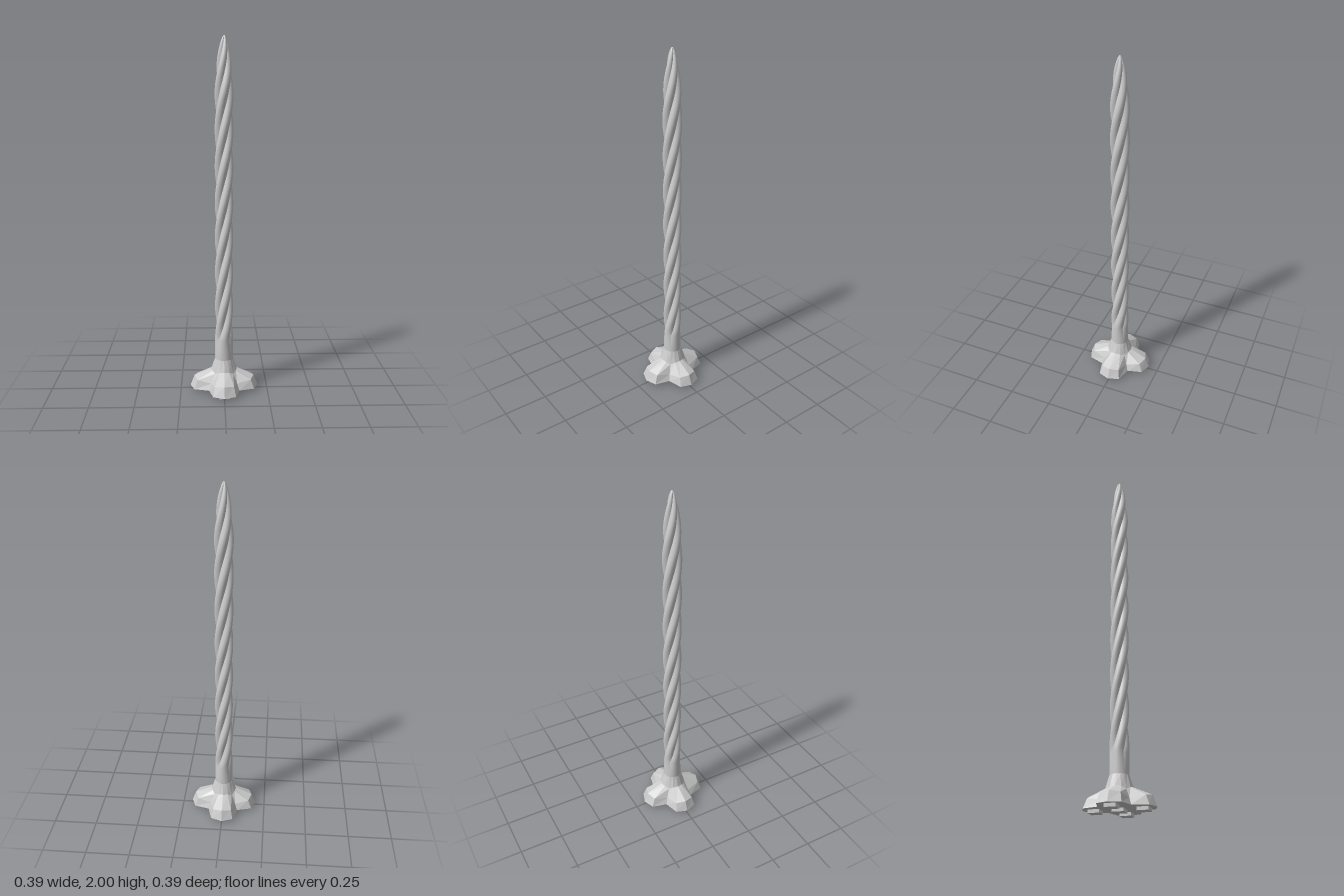
import * as THREE from 'three';
import { ParametricGeometry } from 'three/addons/geometries/ParametricGeometry.js';

const smooth = (a, b, t) => THREE.MathUtils.smoothstep(t, a, b);

// Overall radius of the shaft: even along its length, rounded to a point at the top
function shaftRadius(y) {
  const t = Math.max(0, (y - 1.66) / 0.34);
  return 0.051 * Math.pow(Math.max(0, 1 - t * t), 0.6) + 0.0005;
}

// One of four twisted strands; its two edges meet the neighbours in sharp grooves
function strandGeometry(index) {
  const point = (u, v, target) => {
    const y = 0.17 + 1.83 * Math.sin(v * Math.PI / 2) ** 0.9;
    const depth = 0.32 * smooth(0.18, 0.42, y);
    const local = (u - 0.5) * Math.PI / 2;
    const r = shaftRadius(y) * (1 - depth * (1 - Math.cos(2 * local)));
    const twist = (Math.max(y, 0.3) - 1.7) / 0.8 * Math.PI * 2;
    const a = local + index * Math.PI / 2 + twist;
    target.set(r * Math.cos(a), y, -r * Math.sin(a));
  };
  return new ParametricGeometry(point, 10, 120);
}

// Faceted four-petal base from stacked rings of 16 points.
// Each ring lists one quarter as [x, z, y]: petal tip, corner, valley, corner.
function baseGeometry() {
  const rings = [
    [[0.195, 0, 0.018], [0.172, 0.064, 0.018], [0.087, 0.087, 0.018], [0.064, 0.172, 0.018]],
    [[0.172, 0, 0.078], [0.153, 0.054, 0.07], [0.074, 0.074, 0.055], [0.054, 0.153, 0.07]],
    [[0.074, 0, 0.12], [0.067, 0.029, 0.117], [0.052, 0.052, 0.105], [0.029, 0.067, 0.117]],
    [[0.052, 0, 0.185], [0.048, 0.02, 0.185], [0.037, 0.037, 0.185], [0.02, 0.048, 0.185]],
  ];
  const pos = [], index = [];
  for (const ring of rings)
    for (let q = 0; q < 4; q++) {
      const c = [1, 0, -1, 0][q], s = [0, 1, 0, -1][q];
      for (const [x, z, y] of ring) pos.push(x * c - z * s, y, x * s + z * c);
    }
  for (let r = 0; r < rings.length - 1; r++)
    for (let i = 0; i < 16; i++) {
      const a = r * 16 + i, b = r * 16 + (i + 1) % 16;
      index.push(a, a + 16, b, b, a + 16, b + 16);
    }
  // Underside and top caps
  const low = pos.length / 3;
  pos.push(0, 0.018, 0, 0, 0.185, 0);
  for (let i = 0; i < 16; i++) {
    const j = (i + 1) % 16;
    index.push(low, i, j, low + 1, 48 + j, 48 + i);
  }
  const g = new THREE.BufferGeometry();
  g.setAttribute('position', new THREE.Float32BufferAttribute(pos, 3));
  g.setIndex(index);
  const flat = g.toNonIndexed();
  flat.computeVertexNormals();
  return flat;
}

export function createModel() {
  const model = new THREE.Group();
  model.name = 'twistedSpire';
  const smoothGrey = new THREE.MeshStandardMaterial({ color: 0xcccccc });
  const flatGrey = new THREE.MeshStandardMaterial({ color: 0xcccccc, flatShading: true });
  const add = (name, geometry, material, parent = model) => {
    const mesh = new THREE.Mesh(geometry, material);
    mesh.name = name;
    parent.add(mesh);
    return mesh;
  };

  // Twisted shaft
  const shaft = new THREE.Group();
  shaft.name = 'shaft';
  for (let i = 0; i < 4; i++) add('strand' + (i + 1), strandGeometry(i), smoothGrey, shaft);
  model.add(shaft);

  // Petal base
  add('petalBase', baseGeometry(), flatGrey);

  // Five square pads underneath
  for (const [x, z] of [[0, 0], [0.128, 0], [-0.128, 0], [0, 0.128], [0, -0.128]])
    add('footPad', new THREE.BoxGeometry(0.062, 0.02, 0.062), flatGrey).position.set(x, 0.01, z);

  return model;
}
